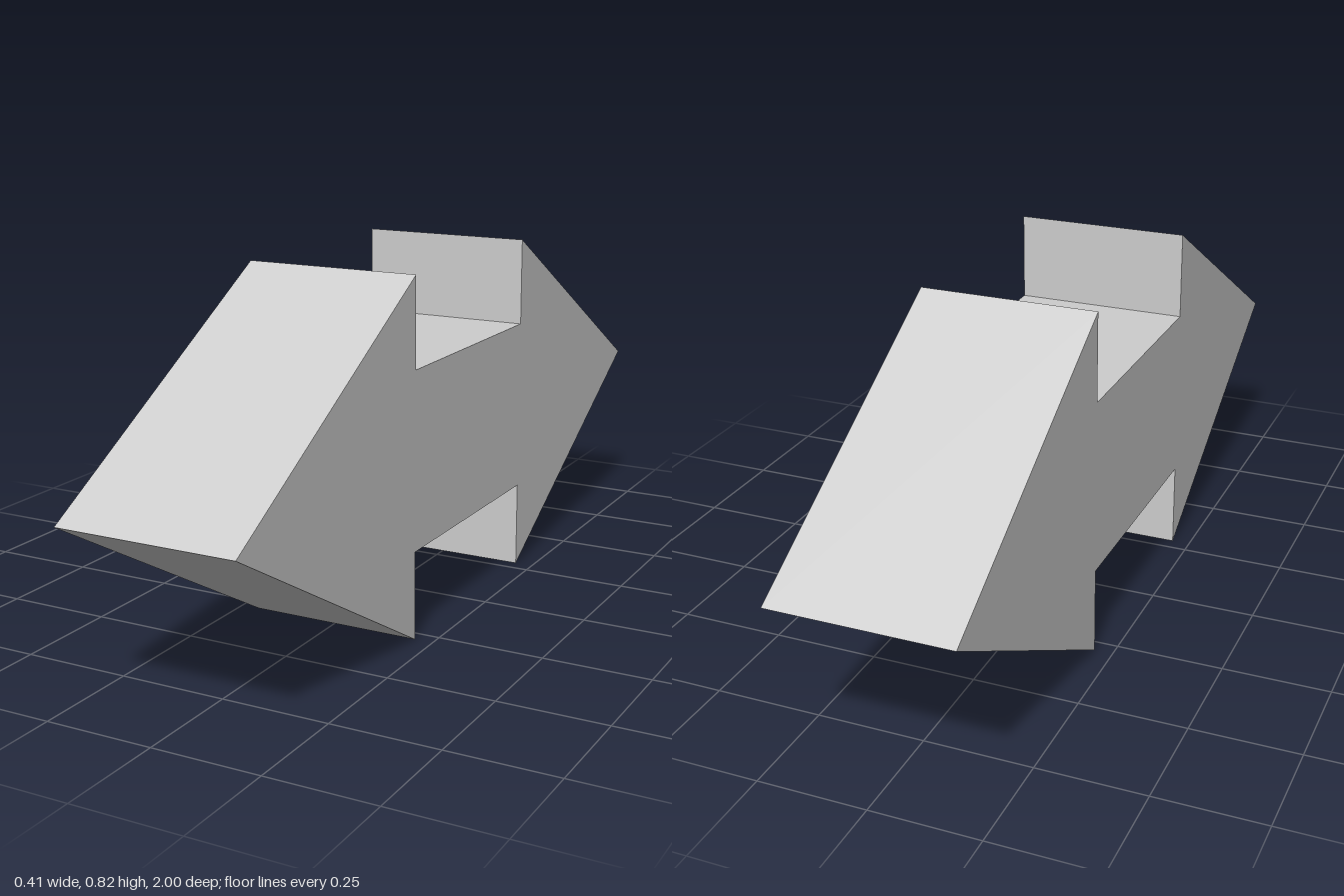
import * as THREE from 'three';

export function createModel() {
  const model = new THREE.Group();
  model.name = 'doubleArrow';
  const grey = new THREE.MeshStandardMaterial({ color: 0xcccccc });
  grey.name = 'light grey';

  const width = 0.412, midY = 0.4125, headHalf = 0.4125, barHalf = 0.206, neck = 0.284;

  // Side outline of the two-headed arrow, counter-clockwise
  const outline = new THREE.Shape([
    [-1, 0], [-neck, -headHalf], [-neck, -barHalf], [neck, -barHalf], [neck, -headHalf],
    [1, 0], [neck, headHalf], [neck, barHalf], [-neck, barHalf], [-neck, headHalf],
  ].map(([x, y]) => new THREE.Vector2(x, y)));

  // Extrude across the width and turn so the tips point along z
  const geometry = new THREE.ExtrudeGeometry(outline, { depth: width, bevelEnabled: false });
  geometry.translate(0, midY, -width / 2);
  geometry.rotateY(Math.PI / 2);

  const arrow = new THREE.Mesh(geometry, grey);
  arrow.name = 'arrowBody';
  model.add(arrow);
  return model;
}
